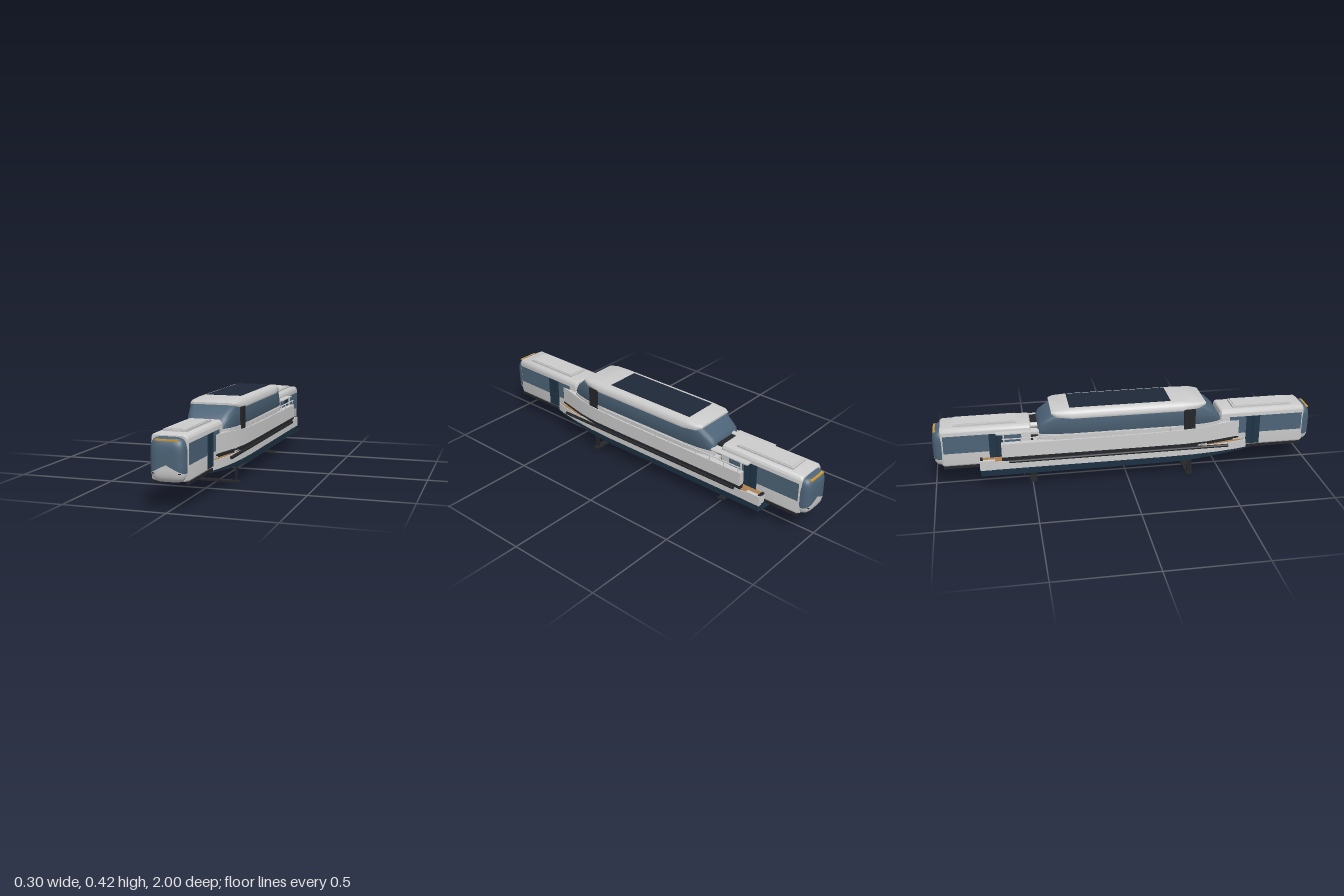
import * as THREE from 'three';
import { toCreasedNormals } from 'three/addons/utils/BufferGeometryUtils.js';
import { ParametricGeometry } from 'three/addons/geometries/ParametricGeometry.js';

const mat = (color, side = THREE.FrontSide) => new THREE.MeshStandardMaterial({ color, side });
const GREY = mat(0xcccccc), GLASS = mat(0x4c6377), NAVY = mat(0x1f3547), BLACK = mat(0x24262a);
const WOOD = mat(0xb08050), AMBER = mat(0xd09a35), SOLAR = mat(0x1e2838);
const GLASS2 = mat(0x4c6377, THREE.DoubleSide), GREY2 = mat(0xcccccc, THREE.DoubleSide);

function add(parent, name, geo, material) {
  const m = new THREE.Mesh(geo, material);
  m.name = name;
  parent.add(m);
  return m;
}

// box given by its extents
function box(parent, name, material, x0, x1, y0, y1, z0, z1) {
  const m = add(parent, name, new THREE.BoxGeometry(x1 - x0, y1 - y0, z1 - z0), material);
  m.position.set((x0 + x1) / 2, (y0 + y1) / 2, (z0 + z1) / 2);
  return m;
}

// the same box on both sides
function pair(parent, name, material, x0, x1, ...rest) {
  box(parent, 'left' + name, material, x0, x1, ...rest);
  box(parent, 'right' + name, material, -x1, -x0, ...rest);
}

// skin over cross-sections { z, ring }, z rising, rings counterclockwise seen from +z
function loft(sections, crease = 0.5) {
  const n = sections[0].ring.length, pos = [], idx = [];
  for (const { z, ring } of sections) for (const [x, y] of ring) pos.push(x, y, z);
  for (let i = 0; i < sections.length - 1; i++)
    for (let j = 0; j < n; j++) {
      const a = i * n + j, b = i * n + (j + 1) % n;
      idx.push(a, b, b + n, a, b + n, a + n);
    }
  const e = (sections.length - 1) * n;
  for (let j = 1; j < n - 1; j++) idx.push(0, j + 1, j, e, e + j, e + j + 1);
  const g = new THREE.BufferGeometry();
  g.setAttribute('position', new THREE.Float32BufferAttribute(pos, 3));
  g.setIndex(idx);
  return toCreasedNormals(g, crease);
}

const rect = (x0, x1, y0, y1) => [[x0, y0], [x1, y0], [x1, y1], [x0, y1]];

// section with rounded corners, top narrower than base
function rounded(w, y0, y1, rBottom, rTop, taper = 1) {
  const pts = [], mid = (y0 + y1) / 2;
  for (const [sx, sy, start] of [[1, -1, -90], [1, 1, 0], [-1, 1, 90], [-1, -1, 180]]) {
    const r = sy > 0 ? rTop : rBottom, hw = sy > 0 ? w * taper : w;
    for (let k = 0; k <= 5; k++) {
      const a = (start + k * 18) * Math.PI / 180;
      pts.push([sx * (hw - r) + r * Math.cos(a), (sy > 0 ? y1 - r : y0 + r) + r * Math.sin(a)]);
    }
  }
  return pts;
}

// railcar end; its nose faces +z
function railcar(name) {
  const g = new THREE.Group();
  g.name = name;
  const body = [0.5, 0.506, 0.945, 0.957].map((z, i) => {
    const s = i === 0 || i === 3 ? 0.006 : 0;
    return { z, ring: rounded(0.087 - s, 0.13 + s, 0.338 - s, 0.012, 0.022) };
  });
  add(g, 'carBody', loft(body, 0.7), GREY);

  // domed nose split by a V into windscreen and chin
  const W = 0.083, H = 0.1, C = 0.228, P = 4.5;
  const half = x => H * Math.pow(Math.max(0, 1 - Math.pow(Math.abs(x) / W, P)), 1 / P);
  const vee = x => Math.min(C + half(x), Math.max(C - half(x), 0.21 - 0.5 * Math.abs(x)));
  const patch = (lo, hi) => new ParametricGeometry((u, v, t) => {
    const x = W * Math.sin((u - 0.5) * Math.PI);
    const k = 0.5 - 0.5 * Math.cos(v * Math.PI);
    const y = lo(x) + (hi(x) - lo(x)) * k;
    const d = Math.pow(Math.abs(x) / W, P) + Math.pow(Math.abs(y - C) / H, P);
    t.set(x, y, 0.948 + 0.052 * Math.pow(Math.max(0, 1 - d), 0.4));
  }, 32, 20);
  add(g, 'windscreen', patch(vee, x => C + half(x)), GLASS2);
  add(g, 'chin', patch(x => C - half(x), vee), GREY2);
  box(g, 'destinationStrip', AMBER, -0.052, 0.052, 0.312, 0.319, 0.96, 0.992);
  pair(g, 'Headlight', BLACK, 0.05, 0.066, 0.17, 0.174, 0.98, 0.995);

  pair(g, 'SideWindow', GLASS, 0.08, 0.088, 0.205, 0.3, 0.55, 0.946);
  pair(g, 'Door', NAVY, 0.08, 0.0885, 0.14, 0.3, 0.64, 0.715);
  pair(g, 'DoorSplit', BLACK, 0.08, 0.089, 0.14, 0.3, 0.676, 0.679);
  pair(g, 'Skirt', BLACK, 0.074, 0.088, 0.12, 0.134, 0.55, 0.95);
  box(g, 'roofUnit', GREY, -0.055, 0.055, 0.335, 0.347, 0.57, 0.89);
  box(g, 'roofUnitLid', GREY, -0.049, 0.049, 0.34, 0.35, 0.58, 0.88);
  return g;
}

export function createModel() {
  const model = new THREE.Group();
  model.name = 'ferryWithRailcars';

  // hull: navy bottom with shallow V, grey side band, deck
  const hull = [[-0.765, 0.137, 0.085, 0.072], [0.2, 0.137, 0.085, 0.068], [0.35, 0.132, 0.09, 0.074],
    [0.48, 0.12, 0.1, 0.088], [0.6, 0.1, 0.108, 0.1], [0.68, 0.078, 0.113, 0.108], [0.77, 0.02, 0.118, 0.115]];
  add(model, 'hullBottom', loft(hull.map(([z, w, chine, keel]) => ({
    z, ring: [[-w, 0.122], [-w * 0.96, chine], [0, keel], [w * 0.96, chine], [w, 0.122]] }))), NAVY);
  const deckPlan = hull.slice(0, 6);
  const layer = (name, material, inset, y0, y1) => add(model, name, loft(deckPlan.map(([z, w]) => ({
    z, ring: rect(inset - w, w - inset, y0, y1) }))), material);
  layer('hullBand', GREY, 0, 0.121, 0.166);
  layer('lowerDeck', WOOD, 0.005, 0.16, 0.169);
  pair(model, 'SternEdge', BLACK, 0.09, 0.128, 0.166, 0.174, -0.766, -0.752);
  pair(model, 'SternCorner', GREY, 0.118, 0.137, 0.12, 0.172, -0.768, -0.69);

  // side bulwarks, recess beneath them and upper deck
  const rim = [[-0.655, 0.143, 0.262], [0.1, 0.143, 0.265], [0.3, 0.141, 0.27], [0.42, 0.128, 0.276],
    [0.52, 0.106, 0.28], [0.6, 0.088, 0.28]];
  for (const s of [1, -1]) {
    const wall = (inset, y0, y1) => loft(rim.map(([z, w, top]) => {
      const a = s * (w - inset), b = s * Math.max(0.07, w - 0.03);
      return { z, ring: rect(Math.min(a, b), Math.max(a, b), y0, y1 ?? top) };
    }));
    const side = s > 0 ? 'left' : 'right';
    add(model, side + 'Bulwark', wall(0, 0.19), GREY);
    add(model, side + 'Recess', wall(0.008, 0.165, 0.192), BLACK);
    add(model, side + 'RubStrip', wall(-0.0015, 0.18, 0.187), BLACK);
    const fender = add(model, side + 'Fender', new THREE.CylinderGeometry(0.008, 0.008, 1.15, 12), BLACK);
    fender.rotation.x = Math.PI / 2;
    fender.position.set(s * 0.14, 0.163, -0.045);
  }
  box(model, 'upperDeck', GREY, -0.125, 0.125, 0.17, 0.262, -0.49, 0.42);
  pair(model, 'AftDeck', GREY, 0.089, 0.12, 0.17, 0.235, -0.64, -0.48);

  // railings
  for (let i = 0; i <= 10; i++) {
    const z = 0.22 - i * 0.086;
    pair(model, 'RailPost', GREY, 0.137, 0.141, 0.255, 0.29, z - 0.002, z + 0.002);
  }
  pair(model, 'HandRail', GREY, 0.136, 0.142, 0.287, 0.291, -0.65, 0.25);

  // cabin: sill, glazed body, roof shell
  const cabinPlan = [[-0.465, 0.1, 0.325], [-0.45, 0.112, 0.35], [-0.38, 0.126, 0.396], [-0.3, 0.131, 0.405],
    [0.3, 0.131, 0.405], [0.39, 0.125, 0.4], [0.45, 0.113, 0.362], [0.48, 0.102, 0.335], [0.495, 0.092, 0.31]];
  add(model, 'cabinSill', loft(cabinPlan.map(([z, w]) => ({
    z, ring: rect(-w - 0.003, w + 0.003, 0.25, 0.292) })), 0.6), GREY);
  add(model, 'cabinGlass', loft(cabinPlan.map(([z, w, top]) => ({
    z, ring: rounded(w, 0.27, top, 0.004, Math.min(0.03, (top - 0.27) / 2), 0.96) })), 0.9), GLASS);
  const roofPlan = [[-0.395, 0.108, 0.394, 0.404], [-0.37, 0.125, 0.382, 0.412], [-0.29, 0.132, 0.372, 0.418],
    [0.29, 0.132, 0.372, 0.418], [0.37, 0.126, 0.382, 0.412], [0.41, 0.108, 0.394, 0.404]];
  add(model, 'cabinRoof', loft(roofPlan.map(([z, w, y0, y1]) => ({
    z, ring: rounded(w, y0, y1, 0.002, (y1 - y0) * 0.75, 0.99) })), 0.9), GREY);
  box(model, 'solarPanel', SOLAR, -0.09, 0.09, 0.412, 0.421, -0.3, 0.225);
  pair(model, 'CabinDoor', BLACK, 0.125, 0.1345, 0.268, 0.38, 0.29, 0.35);

  // aft shelf, side canopies and gangway
  add(model, 'aftShelf', loft([-0.5, -0.44].map(z => ({ z, ring: rounded(0.1, 0.285, 0.312, 0.005, 0.01) }))), GREY);
  pair(model, 'AftCanopy', GREY, 0.089, 0.122, 0.305, 0.311, -0.68, -0.46);
  pair(model, 'CanopyPost', GREY, 0.114, 0.12, 0.23, 0.306, -0.645, -0.637);
  box(model, 'aftGangway', BLACK, -0.07, 0.07, 0.15, 0.325, -0.51, -0.45);
  const vent = add(model, 'ventPipe', new THREE.CylinderGeometry(0.014, 0.014, 0.05, 16), GREY);
  vent.rotation.x = Math.PI / 2;
  vent.position.set(-0.058, 0.322, -0.49);

  // railcars at both ends
  model.add(railcar('frontRailcar'));
  const rear = railcar('rearRailcar');
  rear.rotation.y = Math.PI;
  model.add(rear);

  // hydrofoils and drive pod
  pair(model, 'FrontStrut', BLACK, 0.099, 0.104, 0.008, 0.1, 0.317, 0.345);
  box(model, 'frontFoil', BLACK, -0.123, 0.123, 0.006, 0.011, 0.312, 0.348);
  box(model, 'rearStrut', BLACK, -0.003, 0.003, 0.008, 0.085, -0.508, -0.48);
  box(model, 'rearFoil', BLACK, -0.07, 0.07, 0.006, 0.011, -0.512, -0.476);
  const pod = add(model, 'drivePod', new THREE.SphereGeometry(0.01, 16, 12), BLACK);
  pod.scale.z = 3.6;
  pod.position.set(0, 0.022, -0.502);
  for (let i = 0; i < 3; i++) {
    const blade = box(model, 'propellerBlade', BLACK, -0.003, 0.003, 0.014, 0.03, -0.541, -0.537);
    blade.geometry.translate(0, 0.008, 0);
    blade.rotation.z = i * Math.PI * 2 / 3;
  }
  // stand exactly on the ground
  model.children.forEach(c => { c.position.y -= c.name.endsWith('Foil') ? 0.006 : 0; });
  for (const name of ['frontFoil', 'rearFoil']) model.getObjectByName(name).scale.y = 1.6;
  model.getObjectByName('frontFoil').position.y = model.getObjectByName('rearFoil').position.y = 0.004;
  return model;
}
